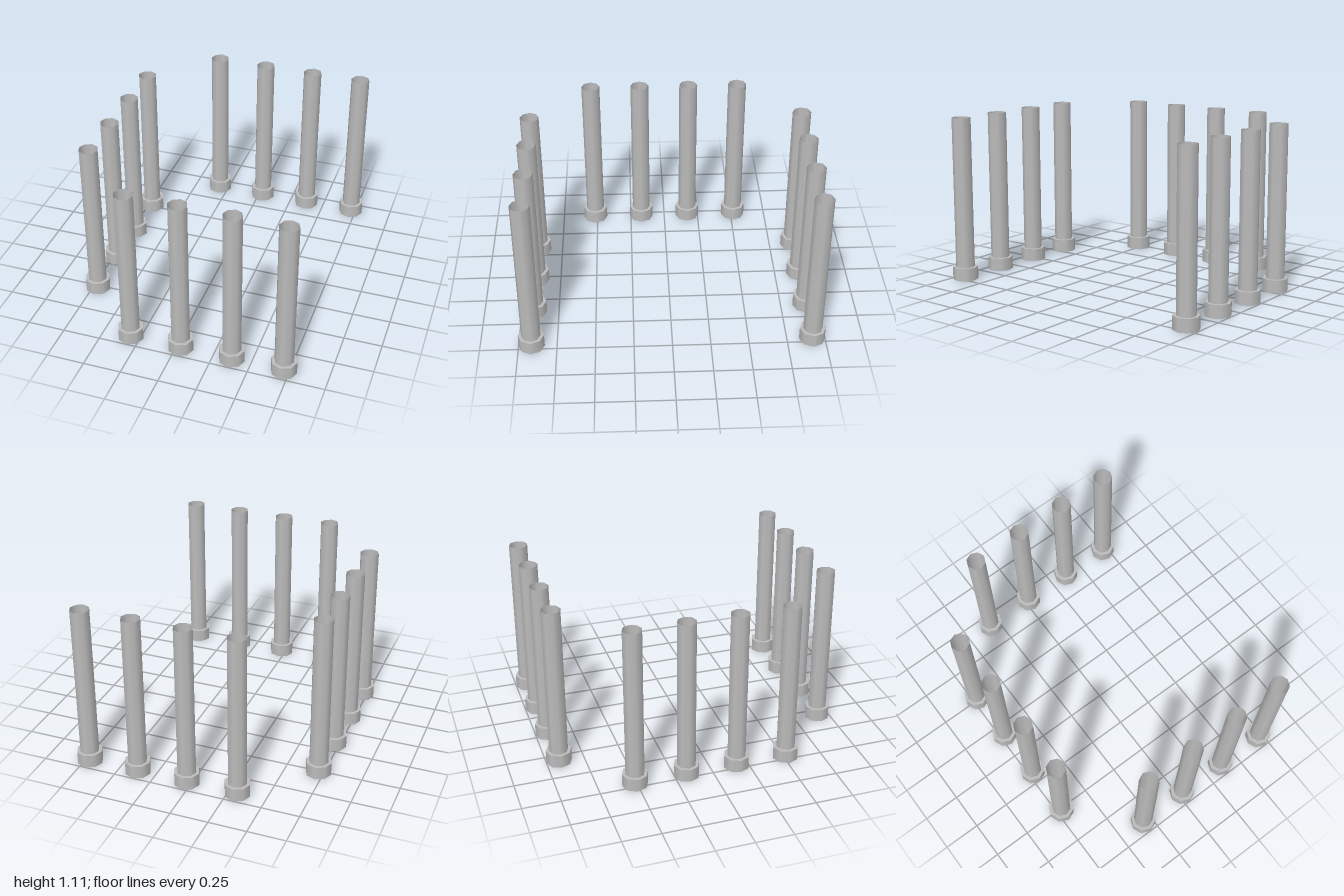
import * as THREE from 'three';

const SIDES = 8;
const BASE_RADIUS = 0.085, BASE_HEIGHT = 0.088;
const SHAFT_RADIUS = 0.063, TOP = 1.108;
const SPACING = 0.342;

export function createModel() {
  const model = new THREE.Group();
  model.name = 'colonnade';

  const stone = new THREE.MeshStandardMaterial({ color: 0xbbbbbb, side: THREE.DoubleSide });
  stone.name = 'grey stone';

  // Open octagonal tubes, joined by a flat ledge
  const baseGeometry = new THREE.CylinderGeometry(BASE_RADIUS, BASE_RADIUS, BASE_HEIGHT, SIDES, 1, true)
    .translate(0, BASE_HEIGHT / 2, 0);
  const shaftHeight = TOP - BASE_HEIGHT;
  const shaftGeometry = new THREE.CylinderGeometry(SHAFT_RADIUS, SHAFT_RADIUS, shaftHeight, SIDES, 1, true)
    .translate(0, BASE_HEIGHT + shaftHeight / 2, 0);
  const ledgeGeometry = new THREE.RingGeometry(SHAFT_RADIUS, BASE_RADIUS, SIDES)
    .rotateX(-Math.PI / 2)
    .translate(0, BASE_HEIGHT, 0);

  function addColumn(row, x, z) {
    const column = new THREE.Group();
    column.name = 'column';
    const parts = { base: baseGeometry, ledge: ledgeGeometry, shaft: shaftGeometry };
    for (const [name, geometry] of Object.entries(parts)) {
      const mesh = new THREE.Mesh(geometry, stone);
      mesh.name = name;
      column.add(mesh);
    }
    column.position.set(x, 0, z);
    row.add(column);
  }

  // Three rows of four columns: front, back and the right side
  const rows = ['frontRow', 'backRow', 'rightRow'].map((name) => {
    const row = new THREE.Group();
    row.name = name;
    model.add(row);
    return row;
  });
  for (let i = 0; i < 4; i++) {
    const x = 0.714 - i * SPACING;
    addColumn(rows[0], x, 0.915);
    addColumn(rows[1], x, -0.915);
    addColumn(rows[2], -0.715, (i - 1.5) * SPACING);
  }
  return model;
}
